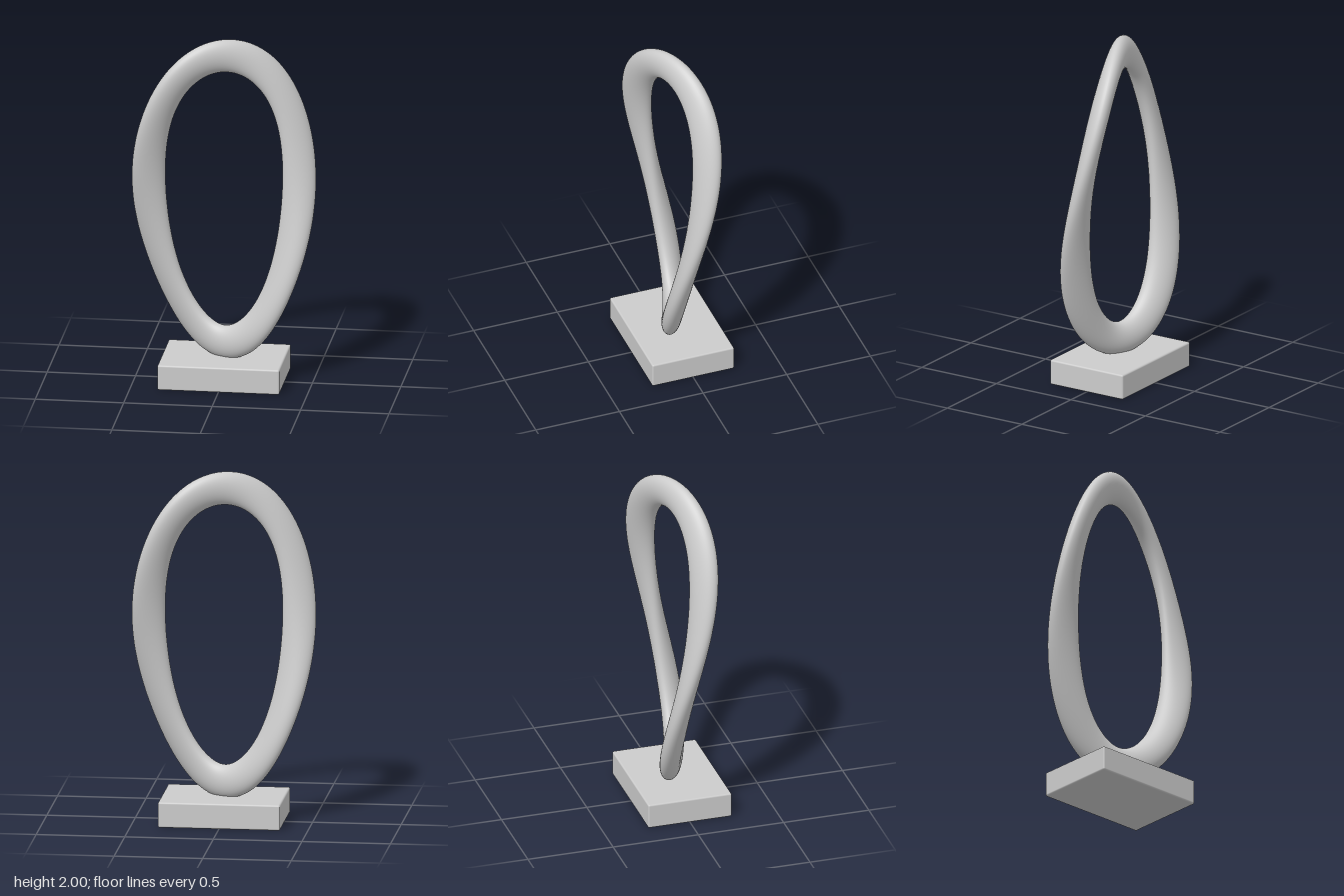
import * as THREE from 'three';
import { RoundedBoxGeometry } from 'three/addons/geometries/RoundedBoxGeometry.js';

const material = new THREE.MeshStandardMaterial({ color: 0xcccccc });

// Centre line: an upright egg-shaped ring that sways front to back twice per turn
function ringPoint(t) {
  return new THREE.Vector3(
    0.42 * Math.cos(t) * (1 + 0.12 * Math.sin(t)),
    1.065 + 0.84 * Math.sin(t),
    -0.077 * Math.sin(2 * t)
  );
}

// Sweeps an oval section, which tilts with the sway, around the closed centre line
function createRingGeometry(steps = 200, sides = 40, halfWidth = 0.094, halfDepth = 0.055) {
  const positions = [];
  const indices = [];
  for (let i = 0; i < steps; i++) {
    const t = (i / steps) * Math.PI * 2;
    const centre = ringPoint(t);
    const tangent = ringPoint(t + 0.001).sub(ringPoint(t - 0.001)).normalize();
    const outward = new THREE.Vector3(tangent.y, -tangent.x, 0).normalize();
    const across = new THREE.Vector3().crossVectors(tangent, outward);
    const tilt = 0.68 * Math.sin(2 * t);
    outward.applyAxisAngle(tangent, tilt);
    across.applyAxisAngle(tangent, tilt);

    for (let j = 0; j < sides; j++) {
      const angle = (j / sides) * Math.PI * 2;
      const p = centre.clone()
        .addScaledVector(outward, halfWidth * Math.cos(angle))
        .addScaledVector(across, halfDepth * Math.sin(angle));
      positions.push(p.x, p.y, p.z);

      const nextI = (i + 1) % steps;
      const nextJ = (j + 1) % sides;
      const a = i * sides + j;
      const b = nextI * sides + j;
      const c = nextI * sides + nextJ;
      const d = i * sides + nextJ;
      indices.push(a, d, b, b, d, c);
    }
  }
  const geometry = new THREE.BufferGeometry();
  geometry.setAttribute('position', new THREE.Float32BufferAttribute(positions, 3));
  geometry.setIndex(indices);
  geometry.computeVertexNormals();
  return geometry;
}

export function createModel() {
  const model = new THREE.Group();
  model.name = 'loopSculpture';

  // Twisted closed loop, its lowest point sunk slightly into the base
  const ring = new THREE.Mesh(createRingGeometry(), material);
  ring.name = 'twistedRing';
  model.add(ring);

  // Rectangular plinth with finely eased edges
  const base = new THREE.Mesh(new RoundedBoxGeometry(0.69, 0.145, 0.49, 2, 0.01), material);
  base.name = 'base';
  base.position.y = 0.0725;
  model.add(base);

  return model;
}
